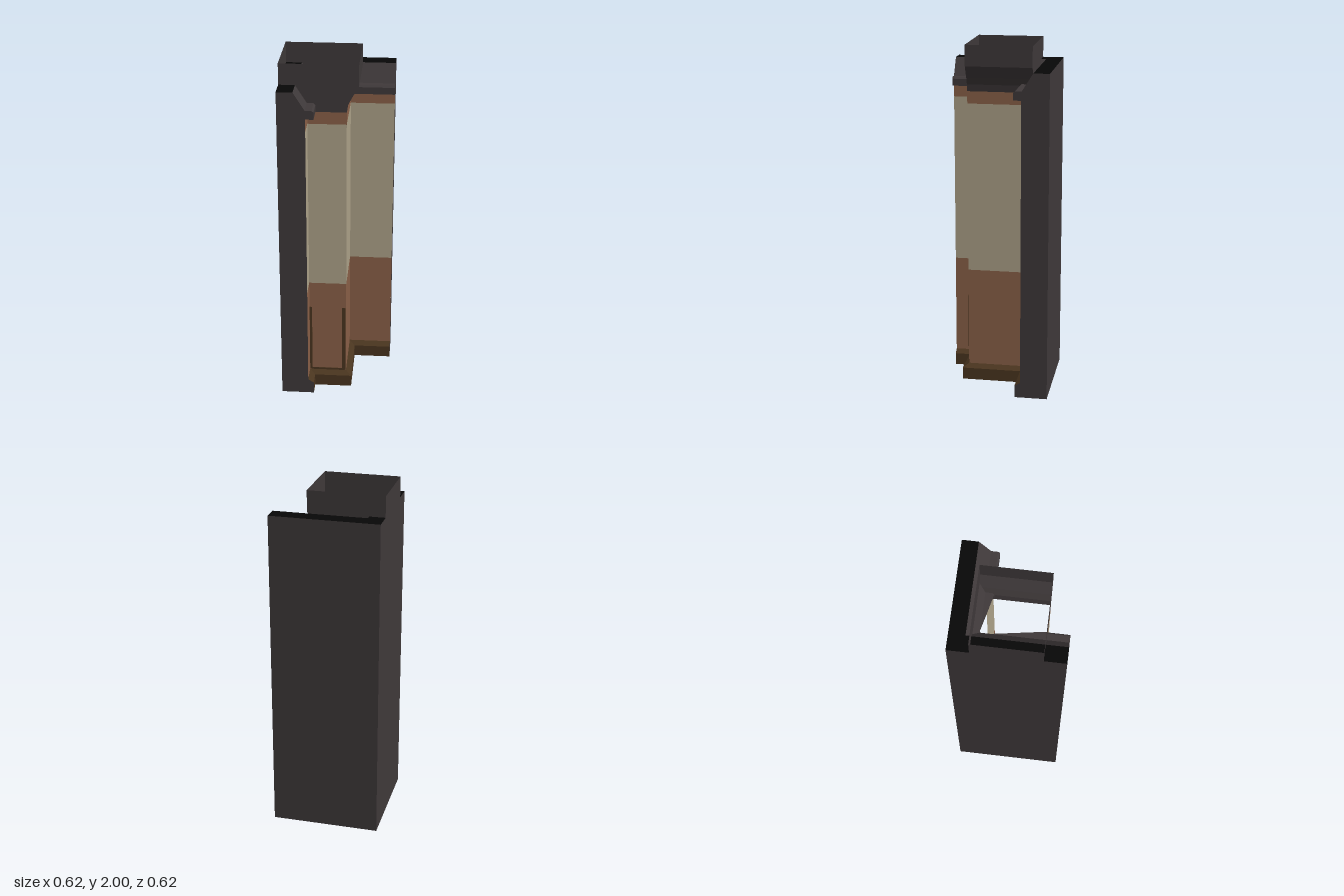
import * as THREE from 'three';

export function createModel() {
  const model = new THREE.Group();
  const mat = (name, color, side = THREE.FrontSide) => {
    const m = new THREE.MeshStandardMaterial({ color, side });
    m.name = name;
    return m;
  };
  const dark = mat('charcoal', 0x3f393a, THREE.FrontSide);
  const darkThin = mat('charcoal thin', 0x3f393a, THREE.DoubleSide);
  const black = mat('black', 0x070707);
  const beige = mat('beige plaster', 0xaea38a);
  const brown = mat('brown paint', 0x8b6148);
  const umber = mat('umber wood', 0x4a351f);

  const add = (name, geometry, material) => {
    const mesh = new THREE.Mesh(geometry, material);
    mesh.name = name;
    model.add(mesh);
    return mesh;
  };

  // Surface through rows of points, each row left to right, rows from bottom to top
  const surface = (rows) => {
    const pos = [];
    for (let r = 0; r < rows.length - 1; r++) {
      for (let i = 0; i < rows[r].length - 1; i++) {
        const a = rows[r][i], b = rows[r][i + 1], c = rows[r + 1][i + 1], d = rows[r + 1][i];
        pos.push(...a, ...b, ...c, ...a, ...c, ...d);
      }
    }
    const g = new THREE.BufferGeometry();
    g.setAttribute('position', new THREE.Float32BufferAttribute(pos, 3));
    g.computeVertexNormals();
    return g;
  };

  const E = 0.31;                     // outer limit
  const W = -0.155;                   // inner wall face
  const PX = 0.06, PZ = 0.19;         // pillar faces
  const H = 1.88;

  // Room-side outline: left wall, pillar, back wall, pushed out by d
  const inner = (d, y) => [
    [W + d, y, E], [W + d, y, PZ + d], [PX + d, y, PZ + d], [PX + d, y, W + d], [E, y, W + d],
  ];
  const corner = (t, y) => [[t, y, E], [t, y, t], [E, y, t]];

  // Painted room side
  add('baseboard', surface([inner(0, 0), inner(0.033, 0), inner(0.033, 0.07), inner(0, 0.09)]), umber);
  add('lowerWall', surface([inner(0, 0.09), inner(0, 0.675)]), brown);
  add('upperWall', surface([inner(0, 0.675), inner(0, 1.66)]), beige);
  add('wallTopBand', surface([inner(0, 1.66), inner(0, 1.73)]), brown);

  // Outer shell
  const back = (y) => [[E, y, -E], [-E, y, -E], [-E, y, E]];
  add('outerWall', surface([back(0), back(H)]), dark);
  add('wallTop', surface([corner(-0.22, H), corner(-E, H)]), black);
  add('topSlope', surface([corner(-0.157, 1.78), corner(-0.22, H)]), dark);

  // Cornices, their tops tapering away inside the pillar
  const C = -0.11;
  const leftRun = (x, y) => [[x, y, E], [x, y, PZ - 0.003]];
  const backRun = (z, y) => [[PX, y, z], [E, y, z]];
  const profile = [[W, 1.73], [C, 1.73], [C, 1.77], [C - 0.01, 1.78], [-0.157, 1.78]];
  add('leftCornice', surface(profile.map(([s, y]) => leftRun(s, y))), dark);
  add('backCornice', surface(profile.map(([s, y]) => backRun(s, y))), dark);
  add('leftCorniceTail', surface([
    [[C, 1.78, PZ], [-0.157, 1.78, -0.1]], [[-0.157, 1.78, PZ], [-0.157, 1.78, -0.1]],
  ]), dark);
  add('backCorniceTail', surface([
    [[-0.157, 1.78, -0.16], [PX, 1.78, C]], [[-0.157, 1.78, -0.16], [PX, 1.78, -0.157]],
  ]), dark);

  // Cut ends of both walls
  const endProfile = [[-E, 0], [-0.122, 0], [-0.122, 0.07], [W, 0.09], [W, 1.73], [C, 1.73],
    [C, 1.77], [C - 0.01, 1.78], [-0.157, 1.78], [-0.22, H], [-E, H]];
  const endShape = (sign) => new THREE.ShapeGeometry(
    new THREE.Shape(endProfile.map(([s, y]) => new THREE.Vector2(sign * s, y))));
  add('leftWallEnd', endShape(1).translate(0, 0, E), dark);
  add('backWallEnd', endShape(-1).rotateY(Math.PI / 2).translate(E, 0, 0), dark);

  // Underside, cut diagonally across the hollow pillar
  const floor = [[-E, -E], [E, -E], [E, W], [PX, W], [PX, -0.12], [-0.12, PZ], [W, PZ], [W, E], [-E, E]];
  add('underside', new THREE.ShapeGeometry(
    new THREE.Shape(floor.map(([x, z]) => new THREE.Vector2(x, z)))).rotateX(Math.PI / 2), dark);

  // Open box capital, flared toward the back wall side
  const capSide = [[-E, 2], [-E, H], [-0.2, 1.78], [W, 1.73], [PX, 1.73], [0.066, 1.77],
    [0.085, 1.81], [0.125, H], [0.125, 2]];
  const capShape = new THREE.Shape(capSide.map(([x, y]) => new THREE.Vector2(x, y)));
  add('capitalFront', new THREE.ShapeGeometry(capShape).translate(0, 0, PZ), darkThin);
  const rearShape = new THREE.Shape([[-E, 2], [-E, H], [-0.2, 1.83], [0.097, 1.83], [0.125, H], [0.125, 2]]
    .map(([x, y]) => new THREE.Vector2(x, y)));
  add('capitalBack', new THREE.ShapeGeometry(rearShape).rotateY(Math.PI)
    .scale(-1, 1, 1).translate(0, 0, -PZ), darkThin);
  const across = ([x, y]) => [[x, y, PZ], [x, y, -PZ]];
  add('capitalFlare', surface(capSide.slice(4).map(across)), darkThin);
  add('capitalLeft', surface([[-E, 2], [-E, H]].map(across)), darkThin);

  // Worn wood strips on the pillar front
  for (const [x, w] of [[-0.147, 0.014], [0.046, 0.022]]) {
    add('pillarStrip', new THREE.BoxGeometry(w, 0.42, 0.004).translate(x, 0.305, PZ + 0.001), umber);
  }
  add('pillarStripFoot', new THREE.BoxGeometry(0.2, 0.012, 0.004).translate(-0.048, 0.096, PZ + 0.001), umber);

  return model;
}
